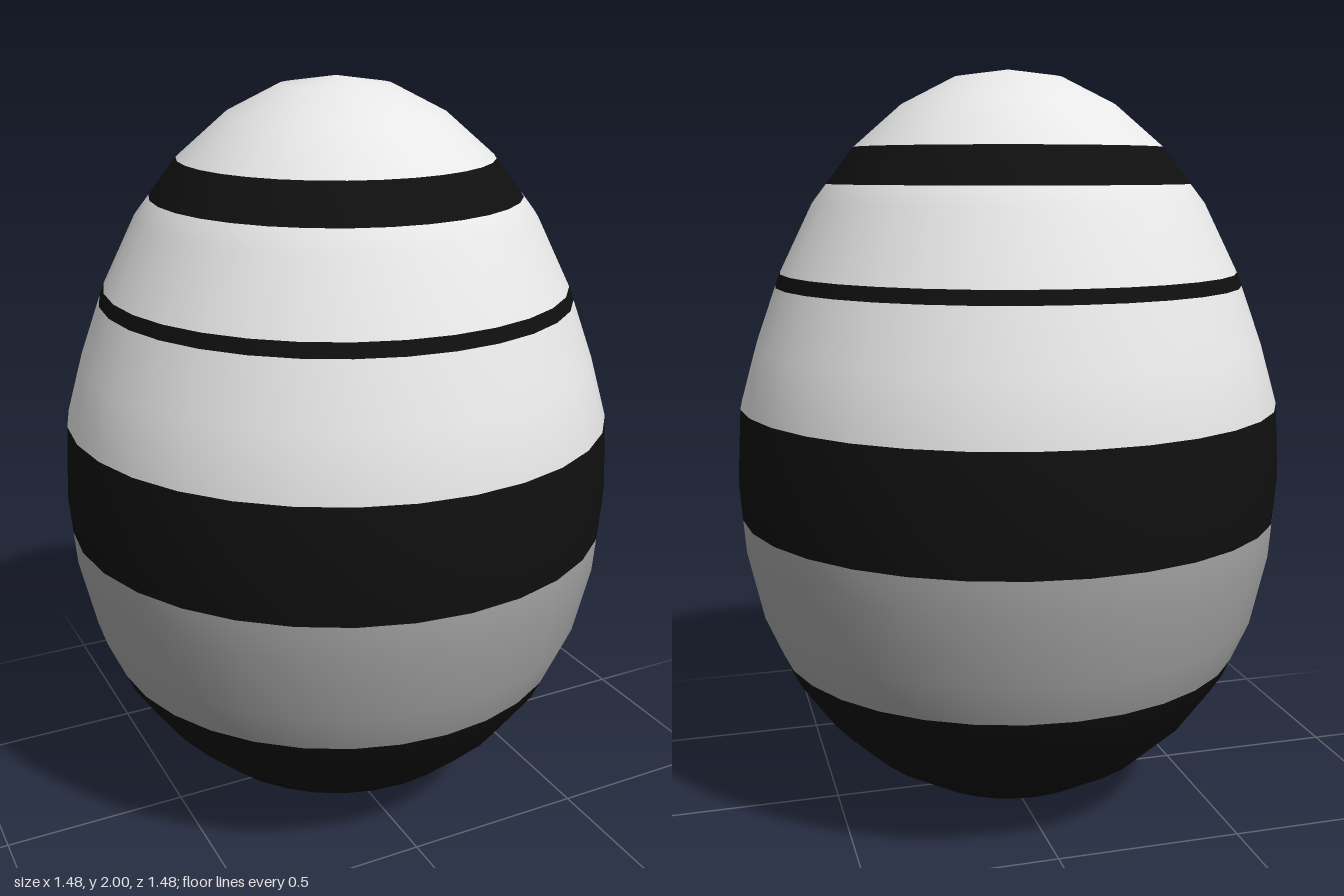
import * as THREE from 'three';

const SIDES = 32;

// Egg outline from bottom to top: [radius, height]
const OUTLINE = [
  [0, 0], [0.144, 0.018], [0.283, 0.067], [0.411, 0.147], [0.523, 0.255], [0.615, 0.385],
  [0.684, 0.545], [0.726, 0.735], [0.74, 0.93], [0.728, 1.125], [0.682, 1.285], [0.615, 1.47],
  [0.523, 1.655], [0.411, 1.8], [0.283, 1.91], [0.144, 1.98], [0, 2],
];

export function createModel() {
  const light = new THREE.MeshStandardMaterial({ name: 'light grey', color: 0xe7e7e7 });
  const grey = new THREE.MeshStandardMaterial({ name: 'mid grey', color: 0xa6a6a6 });
  const black = new THREE.MeshStandardMaterial({ name: 'black', color: 0x0f0f0f });

  // Painted bands: name, lower height, upper height, material
  const bands = [
    ['bottomCap', 0, 0.435, black],
    ['lowerBand', 0.435, 0.825, grey],
    ['wideStripe', 0.825, 1.125, black],
    ['middleBand', 1.125, 1.44, light],
    ['thinStripe', 1.44, 1.475, black],
    ['upperBand', 1.475, 1.705, light],
    ['topStripe', 1.705, 1.8, black],
    ['topCap', 1.8, 2, light],
  ];

  // Add a ring to the outline at every band edge
  const points = OUTLINE.map(([r, y]) => new THREE.Vector2(r, y));
  for (const [, y] of bands) {
    if (points.some((p) => Math.abs(p.y - y) < 0.001)) continue;
    const i = points.findIndex((p) => p.y > y);
    const a = points[i - 1], b = points[i];
    points.splice(i, 0, a.clone().lerp(b, (y - a.y) / (b.y - a.y)));
  }

  // One smooth shell; each band takes its own faces and shares the normals
  const shell = new THREE.LatheGeometry(points, SIDES);
  const pos = shell.attributes.position;
  const index = shell.index.array;

  const egg = new THREE.Group();
  egg.name = 'egg';
  for (const [name, low, high, material] of bands) {
    const faces = [];
    for (let i = 0; i < index.length; i += 3) {
      const tri = [index[i], index[i + 1], index[i + 2]];
      const mid = tri.reduce((sum, v) => sum + pos.getY(v), 0) / 3;
      if (mid > low && mid < high) faces.push(...tri);
    }
    const geometry = new THREE.BufferGeometry();
    geometry.setAttribute('position', pos);
    geometry.setAttribute('normal', shell.attributes.normal);
    geometry.setIndex(faces);
    const mesh = new THREE.Mesh(geometry, material);
    mesh.name = name;
    egg.add(mesh);
  }
  return egg;
}
